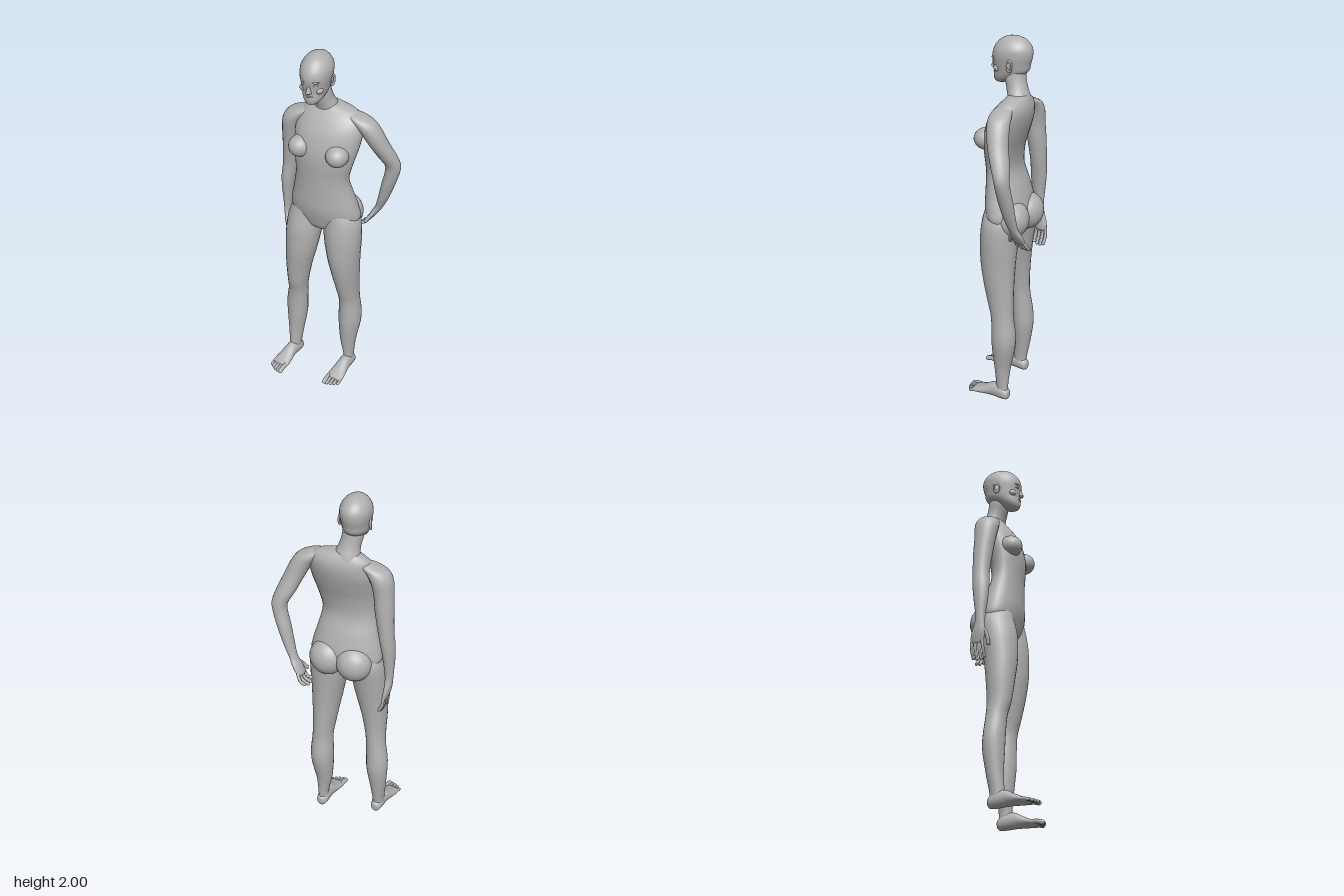
import * as THREE from 'three';

const skin = new THREE.MeshStandardMaterial({ color: 0xb2b2b2 });
skin.name = 'plainGrey';

const V = (x, y, z) => new THREE.Vector3(x, y, z);

function catmull(a, b, c, d, t) {
  return b + 0.5 * t * (c - a + t * (2 * a - 5 * b + 4 * c - d + t * (3 * (b - c) + d - a)));
}

// Smooth skin over elliptical sections [x, y, z, rx, rz, yaw, roll], listed upward
function loft(sections, sides = 24, steps = 4) {
  const last = sections.length - 1, rings = last * steps, pos = [], idx = [];
  const at = (i, k) => sections[Math.min(Math.max(i, 0), last)][k] || 0;
  for (let r = 0; r <= rings; r++) {
    const i = Math.min(Math.floor(r / steps), last - 1), t = r / steps - i;
    const [x, y, z, rx, rz, yaw, roll] = [0, 1, 2, 3, 4, 5, 6].map(
      k => catmull(at(i - 1, k), at(i, k), at(i + 1, k), at(i + 2, k), t));
    for (let j = 0; j < sides; j++) {
      const a = j / sides * Math.PI * 2, u = rx * Math.cos(a), w = rz * Math.sin(a);
      pos.push(x + u * Math.cos(yaw) + w * Math.sin(yaw), y + u * roll,
        z - u * Math.sin(yaw) + w * Math.cos(yaw));
    }
  }
  for (let r = 0; r < rings; r++) for (let j = 0; j < sides; j++) {
    const a = r * sides + j, b = r * sides + (j + 1) % sides;
    idx.push(a, a + sides, b, b, a + sides, b + sides);
  }
  // end caps
  const n = pos.length / 3, top = rings * sides;
  pos.push(...sections[0].slice(0, 3), ...sections[last].slice(0, 3));
  for (let j = 0; j < sides; j++) {
    const k = (j + 1) % sides;
    idx.push(n, j, k, n + 1, top + k, top + j);
  }
  const g = new THREE.BufferGeometry();
  g.setAttribute('position', new THREE.Float32BufferAttribute(pos, 3));
  g.setIndex(idx);
  g.computeVertexNormals();
  return g;
}

function add(parent, name, geometry) {
  const m = new THREE.Mesh(geometry, skin);
  m.name = name;
  parent.add(m);
  return m;
}

function ball(parent, name, p, r, yaw = 0) {
  const m = add(parent, name, new THREE.SphereGeometry(1, 24, 16));
  m.position.set(...p);
  m.scale.set(...r);
  m.rotation.y = yaw;
  return m;
}

// Rounded finger or toe through three points
function digit(parent, name, pts, r) {
  const curve = new THREE.CatmullRomCurve3(pts);
  add(parent, name, new THREE.TubeGeometry(curve, 8, r, 8));
  const tip = pts[pts.length - 1];
  ball(parent, name + 'Tip', [tip.x, tip.y, tip.z], [r, r, r]);
}

function makeHead() {
  const head = new THREE.Group();
  head.name = 'head';
  add(head, 'skull', loft([
    [0, 1.752, .062, .012, .014], [0, 1.762, .05, .034, .04], [0, 1.785, .03, .052, .066],
    [0, 1.82, .002, .066, .092], [0, 1.86, -.002, .074, .1], [0, 1.9, -.005, .08, .107],
    [0, 1.94, -.01, .077, .1], [0, 1.975, -.012, .056, .074], [0, 1.993, -.012, .03, .042],
    [0, 2, -.012, .004, .006]], 32));
  // nose
  add(head, 'nose', loft([
    [0, 1.822, .088, .006, .006], [0, 1.828, .096, .016, .016], [0, 1.838, .098, .012, .015],
    [0, 1.86, .092, .008, .012], [0, 1.882, .088, .007, .01]], 12));
  // lips
  ball(head, 'upperLip', [0, 1.805, .088], [.022, .005, .011]);
  ball(head, 'lowerLip', [0, 1.796, .084], [.019, .006, .012]);
  ball(head, 'chin', [0, 1.767, .072], [.022, .015, .02]);
  for (const s of [-1, 1]) {
    const side = s > 0 ? 'left' : 'right';
    ball(head, side + 'Eye', [s * .031, 1.871, .083], [.014, .007, .011], s * .3);
    ball(head, side + 'Brow', [s * .031, 1.888, .086], [.021, .006, .011], s * .35);
    ball(head, side + 'Cheek', [s * .04, 1.835, .06], [.022, .02, .022], s * .5);
    const ear = add(head, side + 'Ear', new THREE.TorusGeometry(.02, .006, 8, 20));
    ear.position.set(s * .077, 1.86, -.02);
    ear.rotation.y = s * (Math.PI / 2 - .3);
    ear.scale.set(.75, 1.35, 1);
    ball(head, side + 'EarBowl', [s * .074, 1.858, -.018], [.006, .022, .014]);
  }
  head.position.set(-.069, 0, -.002);
  head.rotation.y = .2;
  return head;
}

// Foot built with its ankle over the origin; s is +1 for left, -1 for right
function makeFoot(s) {
  const foot = new THREE.Group();
  foot.name = s > 0 ? 'leftFoot' : 'rightFoot';
  add(foot, 'sole', loft([
    [0, -.045, -.036, .014, .018], [0, -.034, -.036, .027, .031], [0, 0, -.045, .033, .043],
    [0, .05, -.046, .034, .042], [0, .1, -.033, .042, .029], [0, .145, -.022, .048, .018],
    [0, .172, -.018, .043, .013]]).rotateX(Math.PI / 2));
  for (let i = 0; i < 5; i++) {
    const x = s * (-.035 + i * .0185), r = i ? .0085 : .013, end = (i ? .212 : .206) - i * i * .0018;
    digit(foot, 'toe', [V(x, .022, .15), V(x, .021, end - .025), V(x, .014, end)], r);
  }
  return foot;
}

export function createModel() {
  const body = new THREE.Group();
  body.name = 'figure';
  body.add(makeHead());

  add(body, 'neck', loft([
    [-.045, 1.655, -.07, .095, .06, .1], [-.05, 1.695, -.063, .068, .057, .1],
    [-.057, 1.74, -.045, .056, .055], [-.064, 1.785, -.03, .055, .056], [-.067, 1.83, -.025, .052, .055]]));

  // torso, turned so the right shoulder leads and the left one sits higher
  add(body, 'torso', loft([
    [-.033, .975, -.03, .04, .05, .15], [-.033, 1, -.03, .12, .085, .15],
    [-.03, 1.06, -.03, .19, .103, .15], [-.03, 1.13, -.02, .188, .107, .15],
    [-.03, 1.22, -.008, .166, .097, .15], [-.028, 1.32, .008, .147, .083, .16],
    [-.02, 1.42, .004, .16, .091, .18], [-.015, 1.5, -.012, .175, .1, .19, .04],
    [-.015, 1.58, -.035, .182, .1, .19, .08], [-.018, 1.64, -.055, .168, .086, .19, .1],
    [-.032, 1.68, -.065, .135, .064, .19, .1], [-.045, 1.71, -.067, .065, .045, .19, .05]], 36));
  ball(body, 'rightBust', [-.122, 1.487, .066], [.06, .058, .066], -.25);
  ball(body, 'leftBust', [.086, 1.487, .043], [.06, .058, .066], .4);
  ball(body, 'rightButtock', [-.102, 1.06, -.08], [.098, .1, .088], .15);
  ball(body, 'leftButtock', [.047, 1.06, -.093], [.098, .1, .088], .15);

  // hanging right arm with palm
  add(body, 'rightArm', loft([
    [-.274, .878, -.05, .01, .03], [-.277, .9, -.048, .014, .038], [-.282, .94, -.04, .017, .037],
    [-.283, .99, -.032, .02, .028], [-.282, 1.04, -.03, .024, .028], [-.279, 1.12, -.03, .031, .038],
    [-.273, 1.2, -.033, .037, .045], [-.263, 1.28, -.038, .041, .045], [-.25, 1.4, -.035, .048, .052],
    [-.24, 1.5, -.027, .052, .058], [-.225, 1.575, -.025, .058, .066], [-.197, 1.622, -.03, .06, .06],
    [-.155, 1.65, -.04, .045, .045], [-.13, 1.67, -.045, .01, .01]]));
  // bent left arm with the hand resting behind the hip
  add(body, 'leftArm', loft([
    [.138, .985, -.207, .012, .03], [.147, 1.003, -.208, .016, .037], [.168, 1.04, -.207, .02, .035],
    [.19, 1.08, -.204, .021, .027], [.213, 1.14, -.2, .027, .033], [.243, 1.24, -.196, .035, .04],
    [.268, 1.33, -.193, .039, .039], [.271, 1.38, -.188, .043, .04], [.25, 1.44, -.165, .051, .048],
    [.22, 1.52, -.13, .054, .053], [.185, 1.6, -.105, .058, .058], [.15, 1.647, -.092, .06, .056],
    [.11, 1.675, -.082, .045, .042], [.08, 1.69, -.075, .01, .01]]));

  // fingers and thumbs
  for (let i = 0; i < 4; i++) {
    const z = (i - 1.5) * .019, short = Math.abs(i - 1.4) * .008;
    digit(body, 'rightFinger', [V(-.276, .9, -.05 + z), V(-.272, .85, -.051 + z * 1.1),
      V(-.254, .797 + short, -.05 + z * 1.1)], .0088);
    digit(body, 'leftFinger', [V(.147, 1, -.208 + z), V(.12, .96, -.214 + z * 1.15),
      V(.09 + short, .937 + short, -.205 + z * 1.25)], .0085);
  }
  digit(body, 'rightThumb', [V(-.28, .96, -.015), V(-.268, .915, .002), V(-.258, .875, .004)], .0105);
  digit(body, 'leftThumb', [V(.172, 1.045, -.185), V(.155, 1.015, -.162), V(.14, .99, -.15)], .0105);

  // legs
  add(body, 'rightLeg', loft([
    [-.203, .05, .03, .03, .034], [-.203, .1, .03, .032, .038], [-.204, .2, .018, .044, .045],
    [-.201, .32, .01, .058, .056], [-.198, .4, .012, .06, .056], [-.187, .5, .018, .054, .055],
    [-.178, .58, .028, .057, .064], [-.168, .7, .03, .072, .075], [-.154, .82, .025, .087, .088],
    [-.144, .95, .01, .097, .098], [-.135, 1.05, -.01, .093, .095], [-.12, 1.12, -.01, .065, .075]]));
  add(body, 'leftLeg', loft([
    [.098, .04, -.065, .028, .034], [.098, .1, -.065, .029, .036], [.093, .2, -.065, .045, .046],
    [.097, .32, -.073, .06, .065], [.098, .4, -.075, .062, .068], [.098, .5, -.066, .056, .064],
    [.095, .58, -.053, .06, .073], [.09, .7, -.037, .073, .087], [.083, .82, -.028, .087, .098],
    [.075, .95, -.03, .102, .102], [.07, 1.05, -.035, .098, .097], [.06, 1.12, -.03, .07, .08]]));

  const rightFoot = makeFoot(-1), leftFoot = makeFoot(1);
  rightFoot.position.set(-.202, .016, .028);
  leftFoot.position.set(.099, -.001, -.063);
  leftFoot.rotation.y = .06;
  body.add(rightFoot, leftFoot);
  return body;
}
